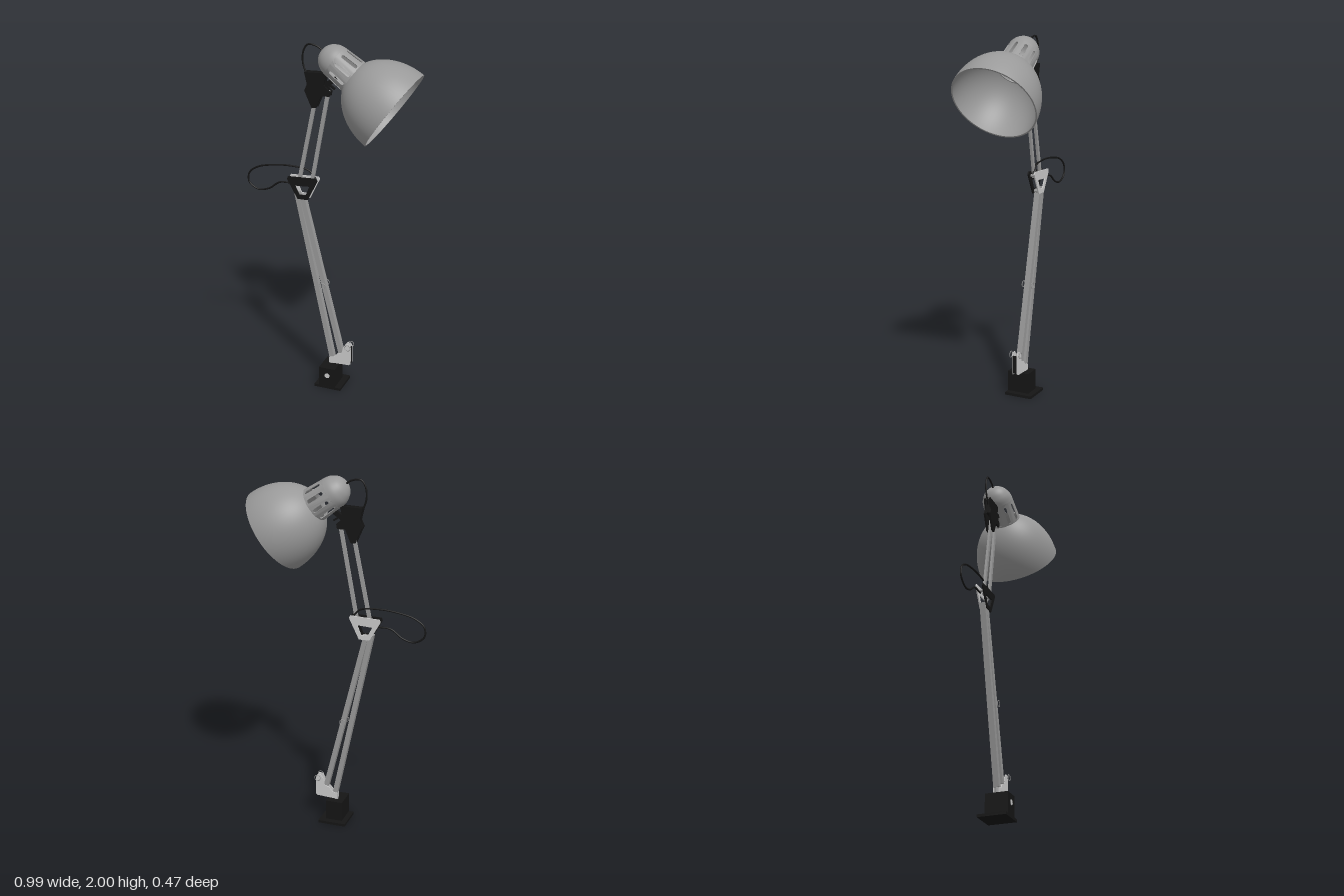
import * as THREE from 'three';
import { mergeGeometries, toCreasedNormals } from 'three/addons/utils/BufferGeometryUtils.js';

const mat = (color) => new THREE.MeshStandardMaterial({ color, side: THREE.DoubleSide });
const grey = mat(0xcccccc), steel = mat(0x999999), black = mat(0x151515);

const v2 = ([x, y]) => new THREE.Vector2(x, y);

function add(parent, name, geometry, material, x = 0, y = 0, z = 0) {
  const mesh = new THREE.Mesh(geometry, material);
  mesh.name = name;
  mesh.position.set(x, y, z);
  parent.add(mesh);
  return mesh;
}

// Rectangular bar between two points in the xy plane
function bar(parent, name, [x1, y1], [x2, y2], width, depth, material) {
  const length = Math.hypot(x2 - x1, y2 - y1);
  const mesh = add(parent, name, new THREE.BoxGeometry(width, length, depth), material,
    (x1 + x2) / 2, (y1 + y2) / 2);
  mesh.rotation.z = Math.atan2(x1 - x2, y2 - y1);
}

// Flat plate cut from an outline, with optional hole, from z0 to z0 + depth
function plate(parent, name, outline, z0, depth, material, hole) {
  const shape = new THREE.Shape(outline.map(v2));
  if (hole) shape.holes.push(new THREE.Path(hole.map(v2)));
  add(parent, name, new THREE.ExtrudeGeometry(shape, { depth, bevelEnabled: false }), material, 0, 0, z0);
}

function cable(parent, name, points) {
  const curve = new THREE.CatmullRomCurve3(points.map(([x, y, z = -0.005]) => new THREE.Vector3(x, y, z)));
  add(parent, name, new THREE.TubeGeometry(curve, 80, 0.005, 8), black);
}

// Pin running along z
function pin(parent, name, x, y, radius, depth, material, z = 0) {
  add(parent, name, new THREE.CylinderGeometry(radius, radius, depth, 20).rotateX(Math.PI / 2), material, x, y, z);
}

// Tapered sleeve with a ring of long rounded slots, bent from flat panels
function slottedSleeve() {
  const count = 10, R = 0.092, y0 = 0.262, y1 = 0.4, wall = 0.005;
  const w = 2 * Math.PI * R / count, steps = 8, panels = [];
  const outline = [];
  for (let i = 0; i <= steps; i++) outline.push(v2([w * (i / steps - 0.5), y0]));
  for (let i = steps; i >= 0; i--) outline.push(v2([w * (i / steps - 0.5), y1]));
  const shape = new THREE.Shape(outline);
  const slot = new THREE.Path();
  slot.absarc(0, 0.372, 0.01, 0, Math.PI, false);
  slot.absarc(0, 0.293, 0.01, Math.PI, 2 * Math.PI, false);
  slot.closePath();
  shape.holes.push(slot);
  for (let k = 0; k < count; k++) {
    const g = new THREE.ExtrudeGeometry(shape, { depth: wall, bevelEnabled: false, curveSegments: 8 });
    const p = g.attributes.position;
    for (let i = 0; i < p.count; i++) {
      const y = p.getY(i);
      const a = p.getX(i) / R + Math.PI / 2 + k * 2 * Math.PI / count;
      const r = 0.096 - 0.008 * (y - y0) / (y1 - y0) - wall + p.getZ(i);
      p.setXYZ(i, Math.sin(a) * r, y, Math.cos(a) * r);
    }
    panels.push(g);
  }
  return toCreasedNormals(mergeGeometries(panels), 0.6);
}

function createHead() {
  // Local +y runs from the shade's opening back to the cap
  const head = new THREE.Group();
  head.name = 'lampHead';
  head.position.set(0.355, 1.68, 0);
  head.rotation.z = THREE.MathUtils.degToRad(55);

  const dome = (radius, height, neck) => {
    const end = Math.acos(neck / radius), pts = [];
    for (let i = 0; i <= 24; i++) {
      const a = end * i / 24;
      pts.push(new THREE.Vector2(radius * Math.cos(a), height * Math.sin(a)));
    }
    return pts;
  };
  const outer = dome(0.237, 0.3, 0.09), inner = dome(0.229, 0.292, 0.088).reverse();
  add(head, 'shadeOuter', new THREE.LatheGeometry(outer, 64), steel);
  add(head, 'shadeInner', new THREE.LatheGeometry(inner, 64), steel);
  add(head, 'shadeRim', new THREE.RingGeometry(0.229, 0.237, 64).rotateX(Math.PI / 2), steel);

  add(head, 'slottedSleeve', slottedSleeve(), steel);
  const capCurve = new THREE.SplineCurve([[0.088, 0.4], [0.084, 0.424], [0.075, 0.445],
    [0.057, 0.469], [0.03, 0.486], [0, 0.491]].map(v2));
  add(head, 'cap', new THREE.LatheGeometry(capCurve.getPoints(20), 48), steel);
  return head;
}

export function createModel() {
  const lamp = new THREE.Group();
  lamp.name = 'deskLamp';

  // Clamp base
  add(lamp, 'basePlate', new THREE.BoxGeometry(0.158, 0.015, 0.16), black, 0.013, 0.0075, 0);
  add(lamp, 'baseBlock', new THREE.BoxGeometry(0.095, 0.12, 0.127), black, 0.01, 0.07, 0.016);
  pin(lamp, 'baseScrew', 0.012, 0.083, 0.015, 0.004, grey, 0.08);
  add(lamp, 'pivotPost', new THREE.CylinderGeometry(0.012, 0.012, 0.05, 20), steel, 0.01, 0.145, 0);

  // Lower bracket
  const cheek = [[0, 0.135], [0.12, 0.14], [0.13, 0.15], [0.13, 0.25], [0.12, 0.27],
    [0.1, 0.27], [0.085, 0.25], [0.075, 0.21], [0.05, 0.2], [0.03, 0.175], [0, 0.17]];
  for (const s of [1, -1]) plate(lamp, 'lowerBracketCheek', cheek, s * 0.0145 - 0.002, 0.004, grey);
  add(lamp, 'lowerBracketWeb', new THREE.BoxGeometry(0.008, 0.1, 0.026), black, 0.125, 0.2, 0);

  // Lower arm
  bar(lamp, 'lowerArmBack', [0.014, 0.175], [-0.192, 1.15], 0.027, 0.032, steel);
  bar(lamp, 'lowerArmFront', [0.068, 0.21], [-0.162, 1.14], 0.027, 0.032, steel);

  // Thin wire rings on both sides of the arm
  for (const [x, y] of [[0.115, 0.255], [-0.035, 0.62]])
    for (const z of [0.029, -0.029])
      add(lamp, 'wireRing', new THREE.TorusGeometry(0.017, 0.002, 6, 24), steel, x, y, z);

  // Elbow: a black and a grey plate with a window
  const elbow = [[-0.246, 1.228], [-0.185, 1.12], [-0.125, 1.12], [-0.068, 1.237],
    [-0.075, 1.25], [-0.24, 1.243]];
  const window = [[-0.2, 1.195], [-0.115, 1.2], [-0.137, 1.145], [-0.174, 1.145]];
  plate(lamp, 'elbowFrontPlate', elbow, 0.014, 0.007, black, window);
  plate(lamp, 'elbowBackPlate', elbow, -0.023, 0.007, grey, window);
  for (const [x, y] of [[-0.205, 1.217], [-0.1, 1.225], [-0.17, 1.132], [-0.142, 1.132]])
    pin(lamp, 'elbowPin', x, y, 0.008, 0.04, steel);

  // Upper arm
  bar(lamp, 'upperArmBack', [-0.184, 1.205], [-0.075, 1.74], 0.02, 0.013, steel);
  bar(lamp, 'upperArmFront', [-0.108, 1.215], [-0.01, 1.75], 0.02, 0.013, steel);

  // Neck joint holding the head
  const neck = [[-0.14, 1.84], [-0.125, 1.775], [-0.14, 1.74], [-0.1, 1.65], [-0.075, 1.65],
    [-0.045, 1.72], [0, 1.72], [0.005, 1.745], [-0.03, 1.78], [-0.015, 1.845]];
  for (const z of [0.01, -0.02]) plate(lamp, 'neckPlate', neck, z, 0.01, black);
  add(lamp, 'neckBlock', new THREE.BoxGeometry(0.1, 0.09, 0.03), black, -0.077, 1.795, 0);
  bar(lamp, 'headLink', [-0.05, 1.76], [0.03, 1.815], 0.025, 0.025, black);
  bar(lamp, 'headBolt', [-0.02, 1.79], [0.025, 1.76], 0.01, 0.012, black);

  lamp.add(createHead());

  // Power cable loops
  cable(lamp, 'headCable', [[-0.03, 1.95, 0], [-0.075, 1.98, 0], [-0.125, 1.985, 0], [-0.15, 1.95, 0],
    [-0.155, 1.89, 0], [-0.14, 1.84, 0], [-0.115, 1.79, 0]]);
  cable(lamp, 'elbowCable', [[-0.085, 1.24], [-0.125, 1.283], [-0.23, 1.297], [-0.34, 1.288],
    [-0.43, 1.265], [-0.482, 1.225], [-0.485, 1.17], [-0.43, 1.133], [-0.365, 1.147],
    [-0.3, 1.192], [-0.22, 1.197]]);
  return lamp;
}
